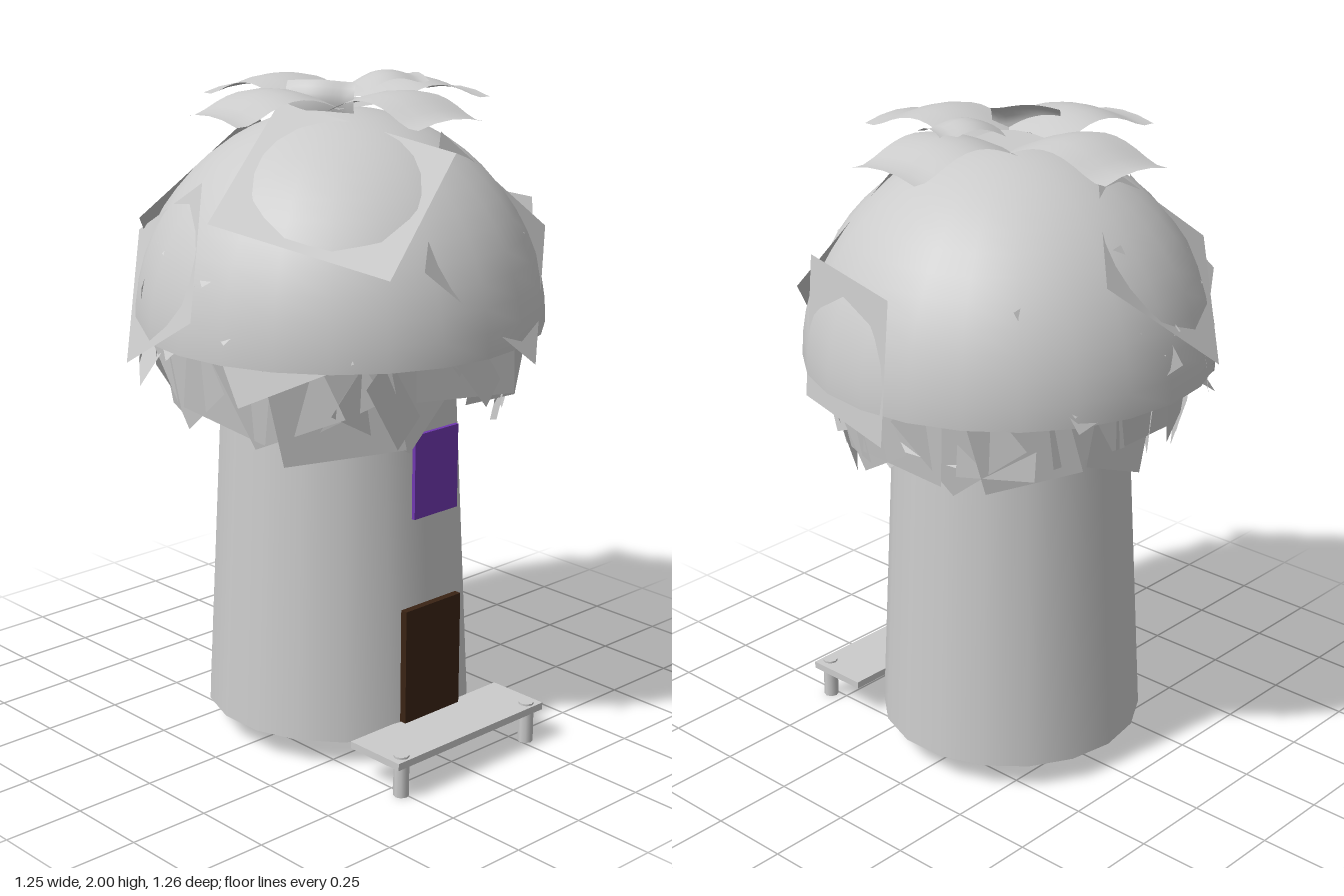
import * as THREE from 'three';

const grey = new THREE.MeshStandardMaterial({ color: 0xcccccc });
const thin = new THREE.MeshStandardMaterial({ color: 0xcccccc, side: THREE.DoubleSide });
const brown = new THREE.MeshStandardMaterial({ color: 0x3a2314 });
const purple = new THREE.MeshStandardMaterial({ color: 0x7038b0 });

const DOME_Y = 1.27, DOME_R = 0.612;

function add(parent, name, geometry, material, x = 0, y = 0, z = 0) {
  const m = new THREE.Mesh(geometry, material);
  m.name = name;
  m.position.set(x, y, z);
  parent.add(m);
  return m;
}

// Small seeded generator giving values in [a, b)
let seed = 7;
function rnd(a, b) {
  seed = (seed * 16807) % 2147483647;
  return a + (b - a) * (seed / 2147483647);
}

// Flat foliage card touching the dome: azimuth from +z towards +x, in degrees
function card(parent, az, el, roll, size, dist) {
  const a = THREE.MathUtils.degToRad(az), e = THREE.MathUtils.degToRad(el);
  const n = new THREE.Vector3(Math.sin(a) * Math.cos(e), Math.sin(e), Math.cos(a) * Math.cos(e));
  const m = add(parent, 'foliageCard', new THREE.PlaneGeometry(size, size), thin,
    n.x * dist, DOME_Y + n.y * dist, n.z * dist);
  m.lookAt(n.x * 9, DOME_Y + n.y * 9, n.z * 9);
  m.rotateZ(THREE.MathUtils.degToRad(roll));
  return m;
}

// Parallelogram card from three neighbouring corners
function cornerCard(parent, a, b, c) {
  const d = a.map((v, i) => v + c[i] - b[i]);
  const g = new THREE.BufferGeometry();
  g.setAttribute('position', new THREE.Float32BufferAttribute([...a, ...b, ...c, ...d], 3));
  g.setIndex([0, 1, 2, 0, 2, 3]);
  g.computeVertexNormals();
  add(parent, 'largeFoliageCard', g, thin);
}

// Curved leaf running along +x, arched along and across
function leafGeometry(length, width, rise, drop) {
  const g = new THREE.PlaneGeometry(1, 1, 10, 4);
  const p = g.attributes.position;
  for (let i = 0; i < p.count; i++) {
    const t = p.getX(i) + 0.5, s = p.getY(i) * 2;
    const y = rise * Math.sin(Math.PI * Math.min(1, t * 1.15)) - drop * t * t - 0.018 * s * s;
    p.setXYZ(i, t * length, y, -s * width / 2);
  }
  g.computeVertexNormals();
  return g;
}

export function createModel() {
  const model = new THREE.Group();
  model.name = 'treeHouse';

  // Tapered trunk
  add(model, 'trunk', new THREE.CylinderGeometry(0.34, 0.405, 1.3, 18), grey, 0, 0.73, 0);

  // Domed crown, open underneath
  const dome = add(model, 'crown',
    new THREE.SphereGeometry(DOME_R, 24, 14, 0, Math.PI * 2, 0, Math.PI / 2), thin, 0.005, DOME_Y, 0);
  dome.scale.y = 1.03;

  // Foliage cards standing out of the crown
  const foliage = new THREE.Group();
  foliage.name = 'foliage';
  model.add(foliage);
  cornerCard(foliage, [0.19, 1.22, 0.62], [0.53, 1.53, 0.34], [0.14, 1.85, 0.28]);
  cornerCard(foliage, [-0.56, 1.65, 0.08], [-0.31, 1.53, 0.54], [0.08, 1.81, 0.4]);
  cornerCard(foliage, [0.58, 1.6, -0.08], [0.62, 1.18, -0.08], [0.53, 1.2, 0.32]);
  card(foliage, 198, 37, 40, 0.48, 0.57);
  card(foliage, 251, 19, 30, 0.42, 0.575);
  card(foliage, 160, 22, 20, 0.38, 0.565);
  card(foliage, 222, 10, 55, 0.36, 0.56);
  card(foliage, -62, 12, 25, 0.36, 0.55);

  // Cards sunk in the crown, only their corners poking through
  for (let i = 0; i < 26; i++) {
    card(foliage, i * 137.5, rnd(8, 60), rnd(0, 90), rnd(0.38, 0.42), rnd(0.53, 0.55));
  }

  // Fringe hanging below the rim: azimuth, elevation, roll, size
  const fringe = [
    [42, -13, -18, 0.36], [62, -10, 12, 0.32], [78, -9, 30, 0.3], [96, -8, -8, 0.28],
    [-44, -13, 10, 0.35], [-24, -10, -30, 0.28], [-62, -8, 24, 0.3], [-80, -8, -12, 0.3],
    [30, -6, 10, 0.24], [-100, -7, 35, 0.3], [-122, -9, 12, 0.32], [116, -7, 38, 0.28],
    [136, -8, 14, 0.28], [-140, -9, 40, 0.3], [-158, -4, 20, 0.24], [156, -4, 8, 0.22],
    [178, -2, 2, 0.22], [6, -2, 8, 0.18],
  ];
  for (const [az, el, roll, size] of fringe) card(foliage, az, el, roll, size, 0.52);
  for (let i = 0; i < 16; i++) {
    const az = 24 + i * 20.8;
    const m = card(foliage, az, rnd(-10, -5), rnd(0, 90), 0.22, rnd(0.46, 0.54));
    m.rotateY(rnd(-0.7, 0.7));
  }

  // Four arched leaves on top: yaw and sideways start
  const top = new THREE.Group();
  top.name = 'topLeaves';
  model.add(top);
  const start = [[0.09, 0.01], [0.0, -0.09], [-0.06, -0.02], [0.02, 0.07]];
  start.forEach(([x, z], i) => {
    const leaf = add(top, 'topLeaf', leafGeometry(0.39, 0.25, 0.05, 0.005), thin, x, 1.925, z);
    leaf.rotation.y = i * Math.PI / 2 - 0.05;
  });
  add(top, 'topLeafCentre', new THREE.PlaneGeometry(0.2, 0.19).rotateX(-Math.PI / 2), thin, 0.015, 1.915, 0);

  // Small raised leaf and a leaf standing on edge
  const small = add(top, 'smallLeaf', leafGeometry(0.21, 0.13, 0.03, -0.02), thin, 0.06, 1.965, 0.01);
  small.rotation.y = -0.25;
  const blade = add(top, 'edgeLeaf', leafGeometry(0.2, 0.09, 0.02, 0), thin, -0.16, 1.95, -0.05);
  blade.rotation.set(1.2, -0.95, 0, 'YXZ');

  // Door and window
  add(model, 'door', new THREE.BoxGeometry(0.225, 0.355, 0.022), brown, 0.005, 0.305, 0.4);
  add(model, 'window', new THREE.BoxGeometry(0.175, 0.255, 0.012), purple, 0.008, 0.89, 0.406);

  // Porch on two posts
  add(model, 'porch', new THREE.BoxGeometry(0.61, 0.022, 0.2), grey, 0.005, 0.111, 0.48);
  for (const x of [-0.26, 0.27]) {
    add(model, 'porchPost', new THREE.CylinderGeometry(0.023, 0.023, 0.128, 8), grey, x, 0.064, 0.55);
  }
  return model;
}
